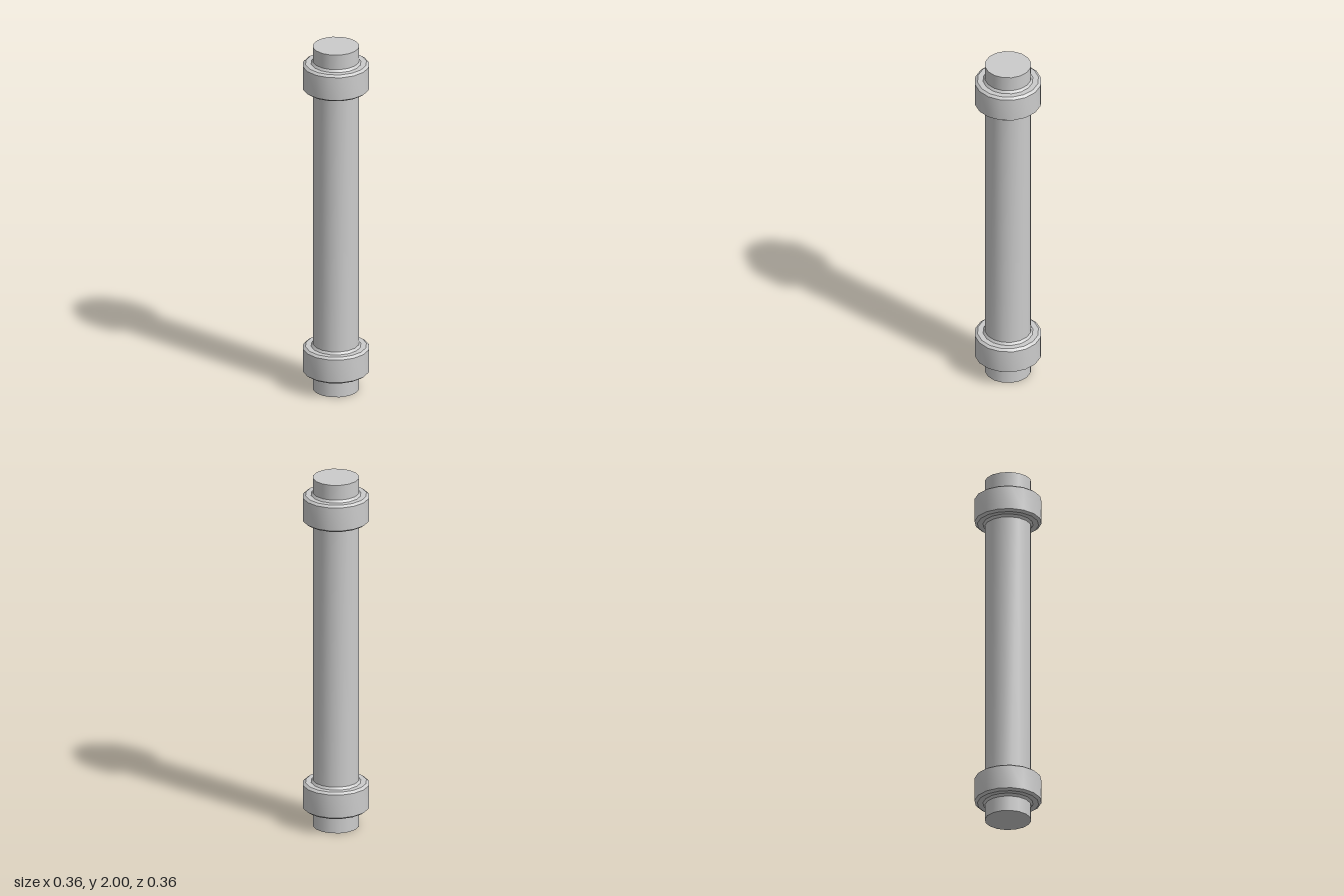
import * as THREE from 'three';
import { toCreasedNormals } from 'three/addons/utils/BufferGeometryUtils.js';

const SIDES = 16;
const material = new THREE.MeshStandardMaterial({ color: 0xcccccc });

// Turned part with smooth sides and sharp profile corners
function turned(name, profile) {
  const points = profile.map(([r, y]) => new THREE.Vector2(r, y));
  const geometry = toCreasedNormals(new THREE.LatheGeometry(points, SIDES), Math.PI / 6);
  const mesh = new THREE.Mesh(geometry, material);
  mesh.name = name;
  return mesh;
}

// Upper half of the collar profile: bevelled band, flat step, small sloped lip
const upper = [[0.18, 0.066], [0.165, 0.077], [0.135, 0.077], [0.125, 0.09]];
const lower = upper.map(([r, y]) => [r, -y]).reverse();
const collarProfile = [...lower, ...upper];

export function createModel() {
  const group = new THREE.Group();
  group.name = 'collaredPipe';

  // Main shaft, capped at both ends
  const shaft = new THREE.Mesh(
    toCreasedNormals(new THREE.CylinderGeometry(0.125, 0.125, 2, SIDES), Math.PI / 6),
    material
  );
  shaft.name = 'shaft';
  shaft.position.y = 1;
  group.add(shaft);

  // Matching collars near each end
  for (const [name, y] of [['lowerCollar', 0.175], ['upperCollar', 1.825]]) {
    const collar = turned(name, collarProfile);
    collar.position.y = y;
    group.add(collar);
  }
  return group;
}
